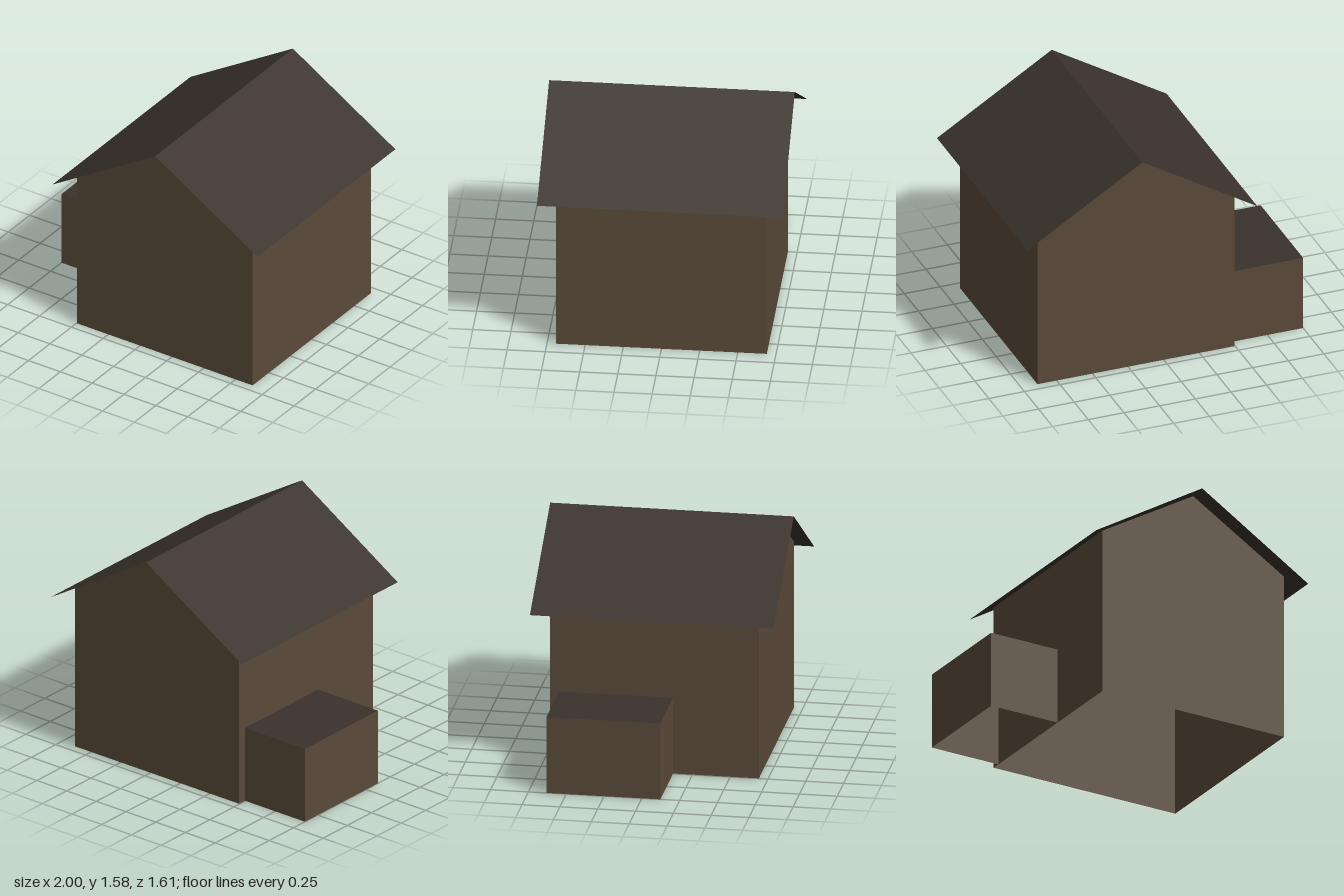
import * as THREE from 'three';

export function createModel() {
  const model = new THREE.Group();
  const wall = new THREE.MeshStandardMaterial({ color: 0x5a4a3a, side: THREE.DoubleSide });
  wall.name = 'brownWall';
  const roof = new THREE.MeshStandardMaterial({ color: 0x3a322c, side: THREE.DoubleSide });
  roof.name = 'darkRoof';

  const add = (name, geometry, material, x, y, z) => {
    const mesh = new THREE.Mesh(geometry, material);
    mesh.name = name;
    mesh.position.set(x, y, z);
    model.add(mesh);
  };

  const centreX = 0.195;

  // Main house: thin gable ends and side walls, open underneath
  const half = 0.69, wallHeight = 1.153;
  const gable = new THREE.Shape([
    new THREE.Vector2(-half, 0),
    new THREE.Vector2(half, 0),
    new THREE.Vector2(half, wallHeight),
    new THREE.Vector2(0, 1.567),
    new THREE.Vector2(-half, wallHeight),
  ]);
  for (const side of [-1, 1]) {
    const gableEnd = new THREE.ShapeGeometry(gable).rotateY(side > 0 ? 0 : Math.PI);
    add(side > 0 ? 'frontGable' : 'backGable', gableEnd, wall, centreX, 0, side * half);
    const sideWall = new THREE.PlaneGeometry(half * 2, wallHeight).rotateY(side * Math.PI / 2);
    add(side > 0 ? 'leftWall' : 'rightWall', sideWall, wall, centreX + side * half, wallHeight / 2, 0);
  }

  // Thin roof slopes meeting at the ridge and overhanging every wall
  const ridge = 1.577, eave = 1.083, reach = 0.805;
  const slope = Math.atan2(ridge - eave, reach);
  for (const side of [-1, 1]) {
    const panel = new THREE.PlaneGeometry(Math.hypot(reach, ridge - eave), reach * 2);
    panel.rotateX(-Math.PI / 2).rotateZ(-side * slope);
    add(side > 0 ? 'leftRoofSlope' : 'rightRoofSlope', panel, roof,
      centreX + side * reach / 2, (ridge + eave) / 2, 0);
  }

  // Low side annex against the right wall: three thin walls and a flat top, open underneath
  const width = 0.505, height = 0.525, depth = 0.753;
  const x = -1 + width / 2, z = -0.254;
  for (const side of [-1, 1]) {
    const end = new THREE.PlaneGeometry(width, height).rotateY(side > 0 ? 0 : Math.PI);
    add(side > 0 ? 'annexFront' : 'annexBack', end, wall, x, height / 2, z + side * depth / 2);
  }
  add('annexSide', new THREE.PlaneGeometry(depth, height).rotateY(-Math.PI / 2), wall, -1, height / 2, z);
  add('annexRoof', new THREE.PlaneGeometry(width, depth).rotateX(-Math.PI / 2), roof, x, height, z);

  return model;
}
